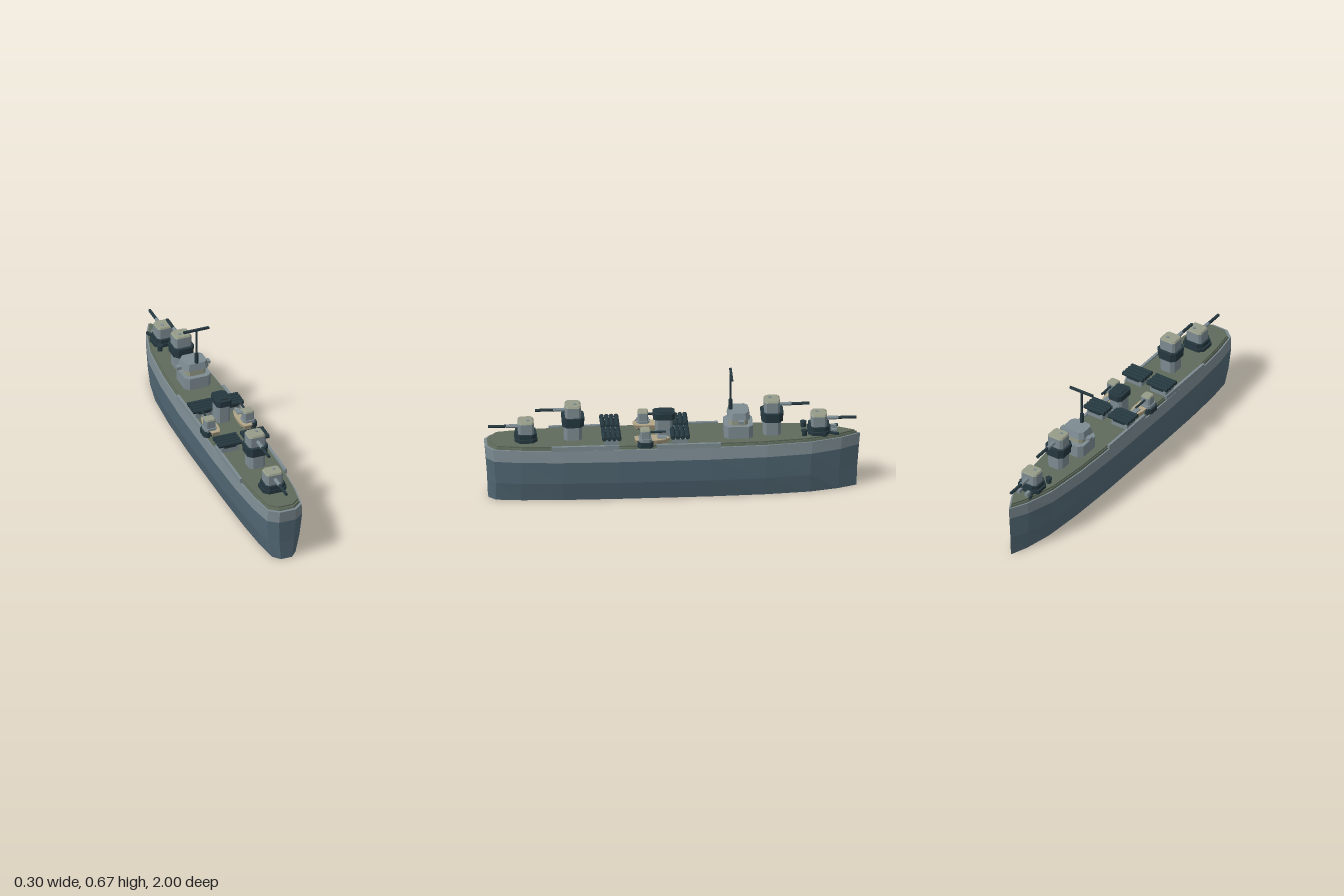
import * as THREE from 'three';

const mat = (name, color) => {
  const m = new THREE.MeshStandardMaterial({ color, flatShading: true });
  m.name = name;
  return m;
};

// Stacks scaled copies of a convex outline [x, z] at levels [y, scaleX, scaleZ], capped at both ends
function loft(outline, levels) {
  const pos = [];
  const n = outline.length;
  const at = (i, [y, sx, sz = sx]) => [outline[i % n][0] * sx, y, outline[i % n][1] * sz];
  const last = levels[levels.length - 1];
  for (let i = 0; i < n; i++) {
    for (let k = 0; k + 1 < levels.length; k++) {
      const a = at(i, levels[k]), b = at(i + 1, levels[k]);
      const c = at(i + 1, levels[k + 1]), d = at(i, levels[k + 1]);
      pos.push(...a, ...d, ...c, ...a, ...c, ...b);
    }
    pos.push(0, levels[0][0], 0, ...at(i, levels[0]), ...at(i + 1, levels[0]));
    pos.push(0, last[0], 0, ...at(i + 1, last), ...at(i, last));
  }
  const g = new THREE.BufferGeometry();
  g.setAttribute('position', new THREE.Float32BufferAttribute(pos, 3));
  g.computeVertexNormals();
  return g;
}

// Rectangle outline with cut corners, half sizes w and d
const cutRect = (w, d, c) => [
  [w - c, -d], [w, -d + c], [w, d - c], [w - c, d],
  [-w + c, d], [-w, d - c], [-w, -d + c], [-w + c, -d],
];

// Completes a starboard-to-port outline by mirroring; the first point lies on the centreline
const mirrorOutline = (half) => [
  ...half, ...half.slice(1).reverse().map(([x, z]) => [-x, z]),
];

export function createModel() {
  const M = {
    lower: mat('lowerHullBlue', 0x546b78),
    gray: mat('navalGray', 0x7d8c93),
    deck: mat('deckGreen', 0x5f6b5c),
    dark: mat('darkSteel', 0x25383f),
    roof: mat('paleRoof', 0x979c89),
    tan: mat('boatTan', 0xb3a688),
  };
  const ship = new THREE.Group();
  ship.name = 'warship';

  const add = (parent, name, geo, material, x = 0, y = 0, z = 0) => {
    const m = new THREE.Mesh(geo, material);
    m.name = name;
    m.position.set(x, y, z);
    parent.add(m);
    return m;
  };
  const box = (p, name, material, w, h, d, x, y, z) =>
    add(p, name, new THREE.BoxGeometry(w, h, d), material, x, y, z);
  const prism = (p, name, material, w, d, c, y0, y1, x = 0, z = 0, top = 1) =>
    add(p, name, loft(cutRect(w, d, c), [[y0, 1], [y1, top]]), material, x, 0, z);
  const rod = (p, name, material, r, len, axis, x, y, z, sides = 8) => {
    const m = add(p, name, new THREE.CylinderGeometry(r, r, len, sides), material, x, y, z);
    if (axis === 'x') m.rotation.z = Math.PI / 2;
    if (axis === 'z') m.rotation.x = Math.PI / 2;
    return m;
  };

  // Hull: bow at -z, rounded stern at +z
  const outline = mirrorOutline([
    [0, -1], [0.055, -0.9], [0.105, -0.74], [0.132, -0.5], [0.144, -0.2],
    [0.145, 0.3], [0.139, 0.6], [0.124, 0.82], [0.1, 0.96], [0.047, 1],
  ]);
  add(ship, 'lowerHull', loft(outline, [[0, 0.67, 0.98], [0.11, 0.89, 0.984], [0.24, 1, 0.994]]), M.lower);
  add(ship, 'upperHull', loft(outline, [[0.24, 1, 0.994], [0.307, 0.95, 1]]), M.gray);
  add(ship, 'deckEdge', loft(outline, [[0.307, 0.9, 0.985], [0.318, 0.88, 0.98]]), M.deck);
  add(ship, 'deck', loft(outline, [[0.318, 0.85, 0.97], [0.326, 0.85, 0.97]]), M.deck);

  // Main gun turret facing +z; raised ones stand on a tall pedestal
  const turret = (name, z, raised, turn) => {
    const g = new THREE.Group();
    g.name = name;
    g.position.z = z;
    g.rotation.y = turn;
    ship.add(g);
    const y = raised ? 0.455 : 0.366;
    if (raised) {
      prism(g, 'pedestal', M.gray, 0.046, 0.048, 0.018, 0.32, 0.42);
      prism(g, 'collar', M.dark, 0.057, 0.057, 0.022, 0.405, 0.445);
      prism(g, 'collarRim', M.dark, 0.06, 0.06, 0.023, 0.438, 0.457);
    } else {
      prism(g, 'base', M.dark, 0.068, 0.06, 0.026, 0.32, 0.345);
      prism(g, 'baseRing', M.dark, 0.058, 0.055, 0.022, 0.345, 0.368);
    }
    prism(g, 'gunHouse', M.gray, 0.048, 0.042, 0.012, y, y + 0.06);
    prism(g, 'gunHouseRoof', M.roof, 0.048, 0.042, 0.012, y + 0.06, y + 0.069, 0, 0, 0.88);
    rod(g, 'roofHatch', M.gray, 0.009, 0.004, 'y', 0.012, y + 0.07, -0.01);
    rod(g, 'barrelSleeve', M.gray, 0.0105, 0.07, 'z', 0, y + 0.034, 0.07);
    rod(g, 'barrel', M.dark, 0.0085, 0.145, 'z', 0, y + 0.034, 0.128);
  };
  turret('aftLowerTurret', 0.78, false, 0);
  turret('aftUpperTurret', 0.53, true, 0);
  turret('foreUpperTurret', -0.53, true, Math.PI);
  turret('foreLowerTurret', -0.78, false, Math.PI);

  // Bridge
  const bridge = new THREE.Group();
  bridge.name = 'bridge';
  bridge.position.z = -0.35;
  ship.add(bridge);
  prism(bridge, 'bridgeBase', M.gray, 0.075, 0.077, 0.022, 0.32, 0.395);
  prism(bridge, 'bridgeCabin', M.roof, 0.055, 0.05, 0.015, 0.395, 0.43);
  prism(bridge, 'bridgeRoof', M.gray, 0.072, 0.06, 0.022, 0.43, 0.468, 0, -0.002, 0.86);
  box(bridge, 'bridgeWings', M.gray, 0.19, 0.016, 0.03, 0, 0.427, -0.012);

  // Mast
  rod(ship, 'mast', M.dark, 0.006, 0.21, 'y', 0, 0.565, -0.31);
  rod(ship, 'mastFoot', M.dark, 0.011, 0.06, 'y', 0, 0.493, -0.31);
  box(ship, 'yard', M.dark, 0.146, 0.011, 0.013, 0, 0.669, -0.314);

  // Funnel
  prism(ship, 'funnel', M.gray, 0.038, 0.046, 0.014, 0.32, 0.435, 0, 0.045);
  prism(ship, 'funnelCap', M.dark, 0.043, 0.058, 0.016, 0.43, 0.464, 0, 0.045);
  prism(ship, 'funnelMouth', M.dark, 0.028, 0.038, 0.01, 0.464, 0.469, 0, 0.045);

  const boatOutline = mirrorOutline([
    [0, -0.1], [0.022, -0.075], [0.034, -0.03], [0.034, 0.05], [0.022, 0.09],
  ]);
  for (const s of [1, -1]) {
    // Torpedo mounts with four tubes lying across the deck
    for (const z of [-0.035, 0.33]) {
      const g = new THREE.Group();
      g.name = 'torpedoMount';
      g.position.set(s * 0.078, 0, z);
      ship.add(g);
      box(g, 'mountBase', M.gray, 0.1, 0.038, 0.075, 0, 0.34, 0);
      box(g, 'mountCradle', M.dark, 0.07, 0.012, 0.09, 0, 0.361, 0);
      for (let i = 0; i < 4; i++)
        rod(g, 'torpedoTube', M.dark, 0.0125, 0.13, 'x', 0, 0.375, (i - 1.5) * 0.026);
    }

    // Boat beside the funnel
    add(ship, 'boat', loft(boatOutline, [[0.324, 0.75, 0.85], [0.35, 1], [0.355, 1]]), M.tan, s * 0.092, 0, 0.115);
    box(ship, 'boatThwart', M.gray, 0.03, 0.008, 0.05, s * 0.092, 0.357, 0.06);

    // Secondary gun
    const gun = new THREE.Group();
    gun.name = 'sideGun';
    gun.position.set(s * 0.11, 0, 0.15);
    ship.add(gun);
    prism(gun, 'gunPlatform', M.dark, 0.042, 0.042, 0.016, 0.32, 0.35);
    prism(gun, 'gunRing', M.gray, 0.034, 0.034, 0.013, 0.35, 0.366);
    prism(gun, 'gunShield', M.gray, 0.028, 0.027, 0.007, 0.366, 0.41);
    prism(gun, 'gunShieldRoof', M.roof, 0.028, 0.027, 0.007, 0.41, 0.418, 0, 0, 0.86);
    rod(gun, 'sideBarrel', M.dark, 0.006, 0.09, 'z', 0, 0.397, -0.065);

    // Deck edge screens
    box(ship, 'foreScreen', M.gray, 0.014, 0.026, 0.34, s * 0.13, 0.319, -0.08);
    box(ship, 'aftScreen', M.gray, 0.014, 0.026, 0.36, s * 0.128, 0.319, 0.47);

    // Foredeck fittings
    rod(ship, 'bollard', M.dark, 0.014, 0.03, 'y', s * 0.053, 0.338, -0.7, 10);
    rod(ship, 'bollardCap', M.dark, 0.017, 0.008, 'y', s * 0.053, 0.354, -0.7, 10);
    const chain = box(ship, 'anchorGear', M.dark, 0.012, 0.014, 0.07, s * 0.045, 0.331, -0.85);
    chain.rotation.y = s * -0.3;
    box(ship, 'anchorWinch', M.gray, 0.018, 0.022, 0.03, s * 0.026, 0.336, -0.86);
  }

  return ship;
}
